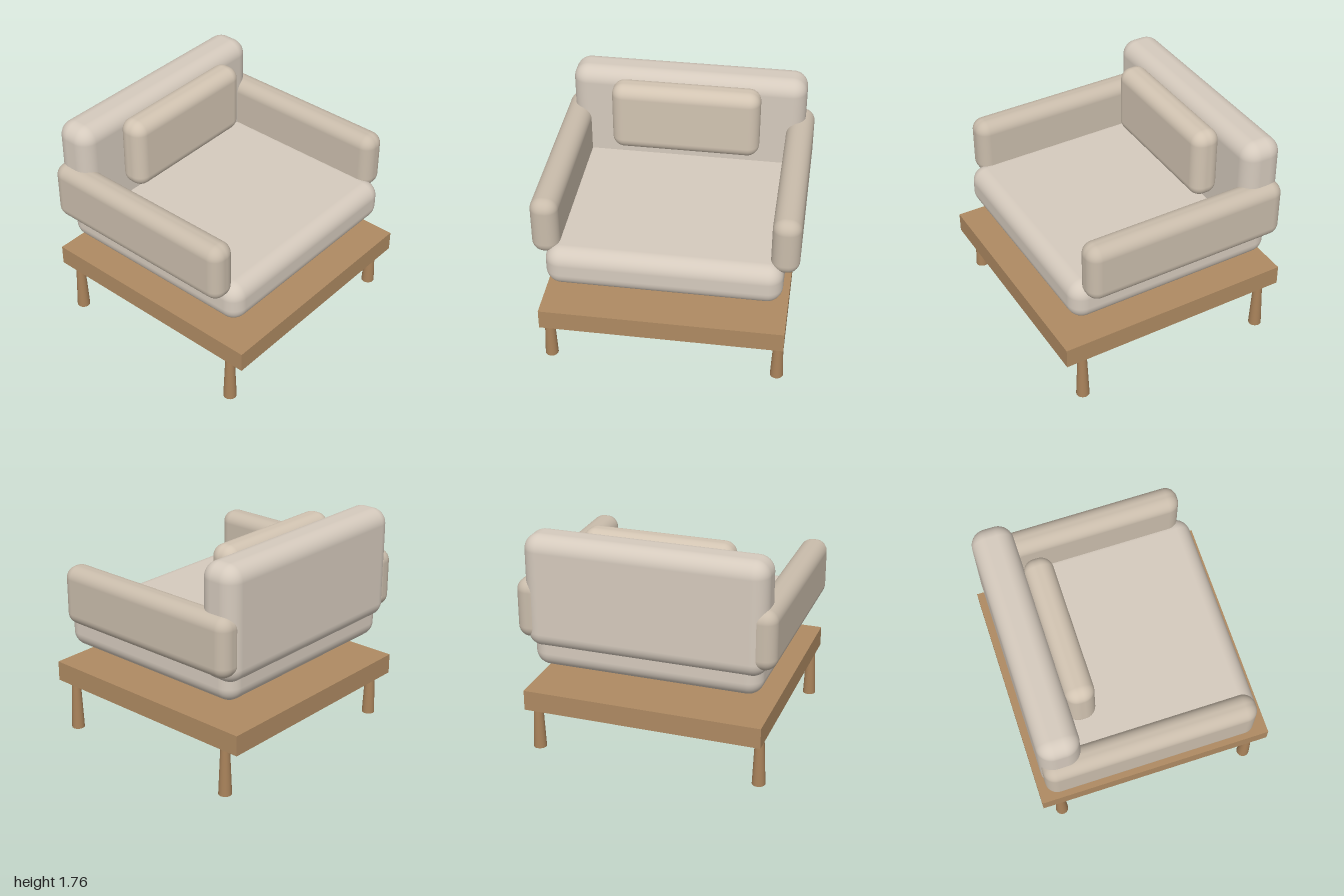
import * as THREE from 'three';
import { RoundedBoxGeometry } from 'three/addons/geometries/RoundedBoxGeometry.js';

const material = (color) => new THREE.MeshStandardMaterial({ color });

export function createModel() {
  const group = new THREE.Group();
  const seatFabric = material(0xd5cabd);
  const armFabric = material(0xc9bcab);
  const pillowFabric = material(0xd2c4b2);
  const wood = material(0xae8a62);
  const legWood = material(0xa8825a);

  const add = (name, geometry, mat, x, y, z) => {
    const mesh = new THREE.Mesh(geometry, mat);
    mesh.name = name;
    mesh.position.set(x, y, z);
    group.add(mesh);
  };

  // Soft block given by its [min, max] extents and edge radius
  const cushion = (name, mat, [x0, x1], [y0, y1], [z0, z1], radius) =>
    add(name, new RoundedBoxGeometry(x1 - x0, y1 - y0, z1 - z0, 6, radius), mat,
      (x0 + x1) / 2, (y0 + y1) / 2, (z0 + z1) / 2);

  // Upholstery
  cushion('seatCushion', seatFabric, [-0.89, 0.89], [0.71, 1.035], [-0.845, 0.845], 0.12);
  cushion('backCushion', seatFabric, [-0.93, 0.93], [0.88, 1.765], [-0.89, -0.57], 0.12);
  cushion('pillow', pillowFabric, [-0.585, 0.585], [1.18, 1.745], [-0.58, -0.357], 0.095);
  cushion('leftArm', armFabric, [0.787, 1], [0.945, 1.412], [-0.882, 0.763], 0.094);
  cushion('rightArm', armFabric, [-1, -0.787], [0.945, 1.412], [-0.882, 0.763], 0.094);

  // Wooden platform
  add('base', new THREE.BoxGeometry(1.86, 0.16, 1.88), wood, 0, 0.461, 0);

  // Tapered legs
  const legGeometry = new THREE.CylinderGeometry(0.035, 0.051, 0.381, 24);
  for (const sx of [1, -1]) {
    for (const sz of [1, -1]) {
      const name = (sz > 0 ? 'front' : 'back') + (sx > 0 ? 'Left' : 'Right') + 'Leg';
      add(name, legGeometry, legWood, sx * 0.884, 0.1905, sz * 0.79);
    }
  }
  return group;
}
